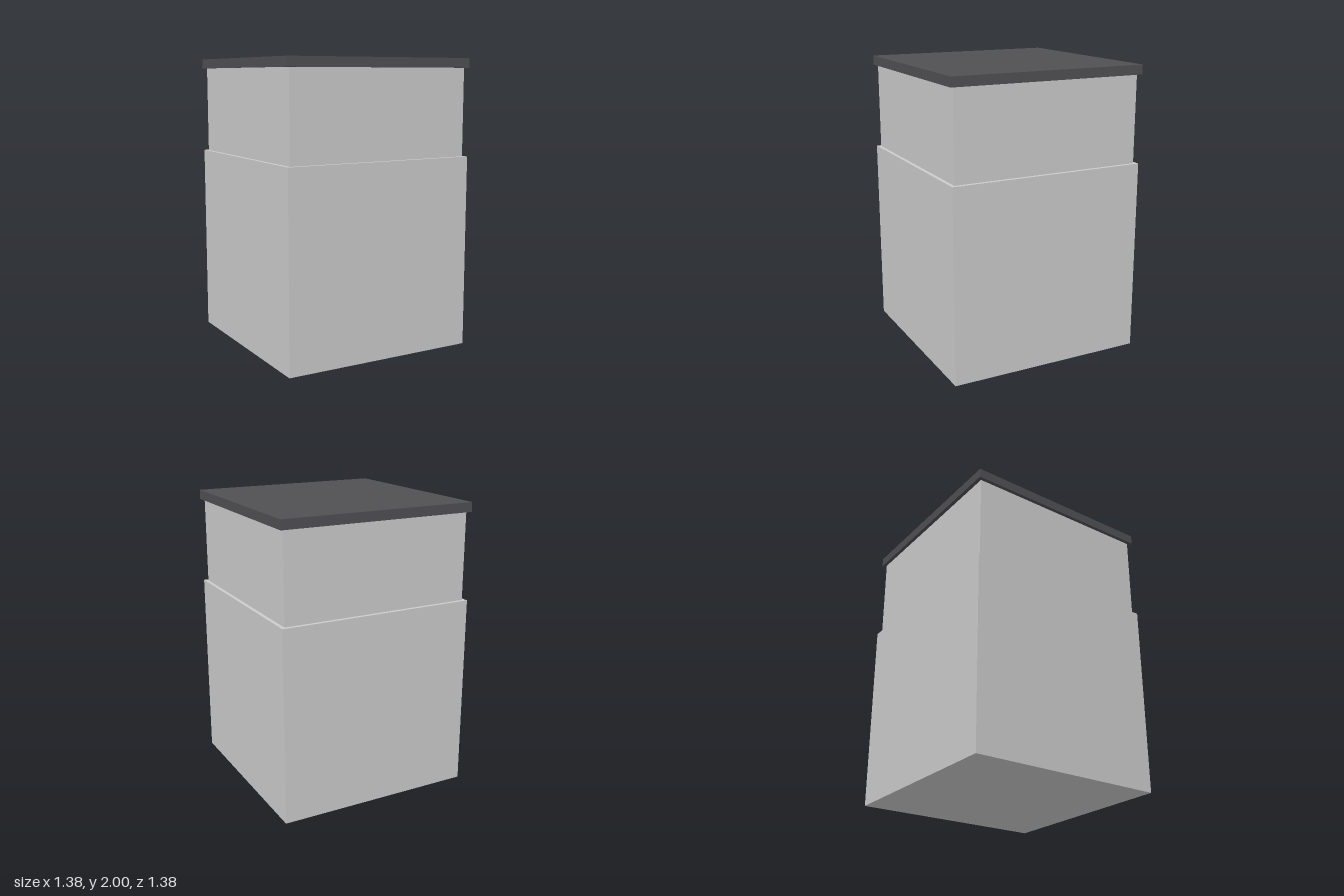
import * as THREE from 'three';

export function createModel() {
  const group = new THREE.Group();
  const grey = new THREE.MeshStandardMaterial({ color: 0xcccccc });
  const dark = new THREE.MeshStandardMaterial({ color: 0x505054 });

  // Square block spanning bottom..top, centred on the vertical axis
  const block = (name, width, bottom, top, material) => {
    const mesh = new THREE.Mesh(new THREE.BoxGeometry(width, top - bottom, width), material);
    mesh.name = name;
    mesh.position.y = (bottom + top) / 2;
    group.add(mesh);
  };

  block('base', 1.38, 0, 1.333, grey); // wide lower body
  block('neck', 1.33, 1.333, 1.935, grey); // slightly inset upper body
  block('lid', 1.38, 1.935, 2, dark); // thin overhanging cap

  return group;
}
